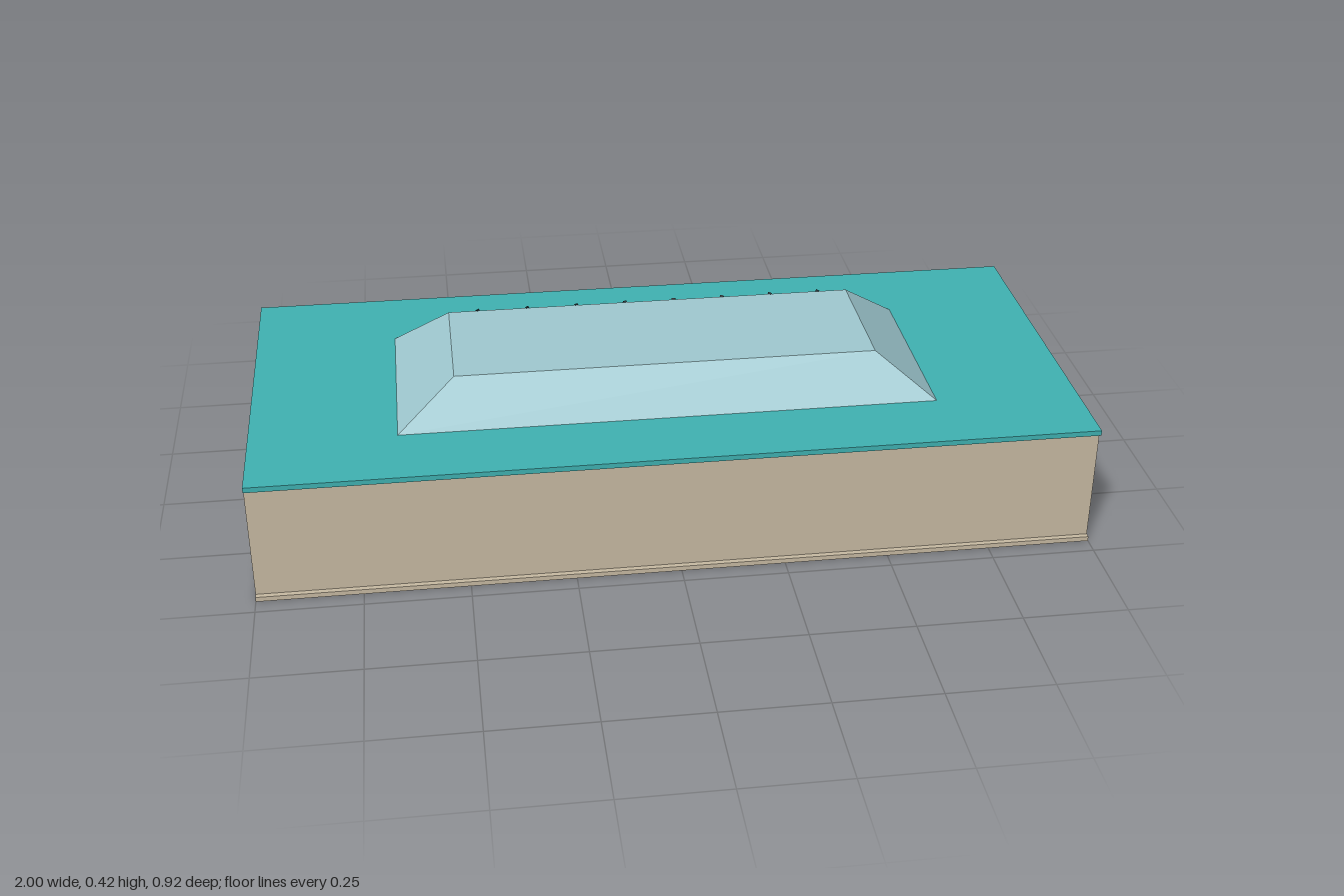
import * as THREE from 'three';

const mat = (name, color) => {
  const m = new THREE.MeshStandardMaterial({ color });
  m.name = name;
  return m;
};

export function createModel() {
  const model = new THREE.Group();
  model.name = 'pavilion';
  const stone = mat('sandstone', 0xc9bca4);
  const teal = mat('teal roof', 0x40b3b3);
  const glass = mat('pale glass', 0xa0cad1);
  const dark = mat('dark frame', 0x17292f);
  const green = mat('green trim', 0x1f7a4d);

  // Box given by its limits on each axis
  const box = (name, material, x0, x1, y0, y1, z0, z1) => {
    const g = new THREE.BoxGeometry(x1 - x0, y1 - y0, z1 - z0);
    g.translate((x0 + x1) / 2, (y0 + y1) / 2, (z0 + z1) / 2);
    const mesh = new THREE.Mesh(g, material);
    mesh.name = name;
    model.add(mesh);
    return mesh;
  };
  // The same box on both sides of x = 0
  const pair = (name, material, x0, x1, ...rest) => {
    box(name, material, x0, x1, ...rest);
    box(name, material, -x1, -x0, ...rest);
  };

  const floor = 0.012, eave = 0.297, roofTop = 0.31;
  const door = 0.125, bayEnd = 0.937, sill = 0.155, lintel = 0.283;

  // Floor slab, roof and hollow shell
  box('floorSlab', stone, -1, 1, 0, floor, -0.458, 0.458);
  box('roof', teal, -1, 1, eave, roofTop, -0.458, 0.458);
  box('frontWall', stone, -1, 1, floor, eave, 0.405, 0.445);
  pair('sideWall', stone, 0.96, 1, floor, eave, -0.397, 0.405);
  pair('cornerWall', stone, bayEnd, 0.96, floor, eave, -0.397, -0.357);

  // Back wall with an open doorway
  pair('lowerWall', stone, door, bayEnd, floor, sill - 0.004, -0.4, -0.36);
  box('doorHeader', stone, -door, door, 0.205, eave, -0.397, -0.36);
  pair('upperWall', stone, door, bayEnd, lintel, eave, -0.397, -0.36);
  box('canopy', dark, -0.14, 0.14, 0.2, 0.236, -0.411, -0.375);
  box('eaveTrim', green, -0.98, 0.98, lintel, 0.295, -0.408, -0.397);

  // Corner pillars of three stacked blocks
  const blocks = [[floor, 0.075], [0.079, 0.152], [0.157, 0.23]];
  for (const [y0, y1] of blocks) {
    pair('pillarBlock', stone, 0.94, 1, y0, y1, -0.412, -0.397);
  }

  // Window bands: glass, rails and mullions
  pair('windowGlass', glass, door, bayEnd, sill, lintel, -0.396, -0.37);
  pair('sillRail', dark, door, bayEnd, sill - 0.004, sill + 0.003, -0.403, -0.37);
  pair('topRail', dark, door, bayEnd, lintel - 0.004, lintel, -0.402, -0.39);
  const panes = 8;
  for (let i = 0; i <= panes; i++) {
    const half = i % 4 === 2 ? 0.008 : 0.003;
    const x = THREE.MathUtils.lerp(door + 0.003, bayEnd - 0.003, i / panes);
    pair('mullion', dark, x - half, x + half, sill, lintel, -0.402, -0.39);
  }

  // Skylight: a box tapered towards its top
  const ridge = 0.415;
  const skylight = box('skylight', glass, -0.65, 0.65, roofTop, ridge, -0.233, 0.265);
  const p = skylight.geometry.attributes.position;
  for (let i = 0; i < p.count; i++) {
    if (p.getY(i) < ridge - 0.01) continue;
    p.setX(i, Math.sign(p.getX(i)) * 0.51);
    p.setZ(i, p.getZ(i) > 0 ? 0.185 : -0.155);
  }
  skylight.geometry.computeVertexNormals();

  // Fanned ribs on the back slope of the skylight
  for (let i = 0; i < 8; i++) {
    const k = (i - 3.5) / 3.5;
    const low = new THREE.Vector3(0.545 * k, roofTop, -0.234);
    const high = new THREE.Vector3(0.435 * k, ridge + 0.001, -0.156);
    const rib = new THREE.Mesh(new THREE.BoxGeometry(0.009, 0.006, low.distanceTo(high)), dark);
    rib.name = 'skylightRib';
    rib.position.lerpVectors(low, high, 0.5);
    rib.lookAt(high);
    model.add(rib);
  }
  return model;
}
